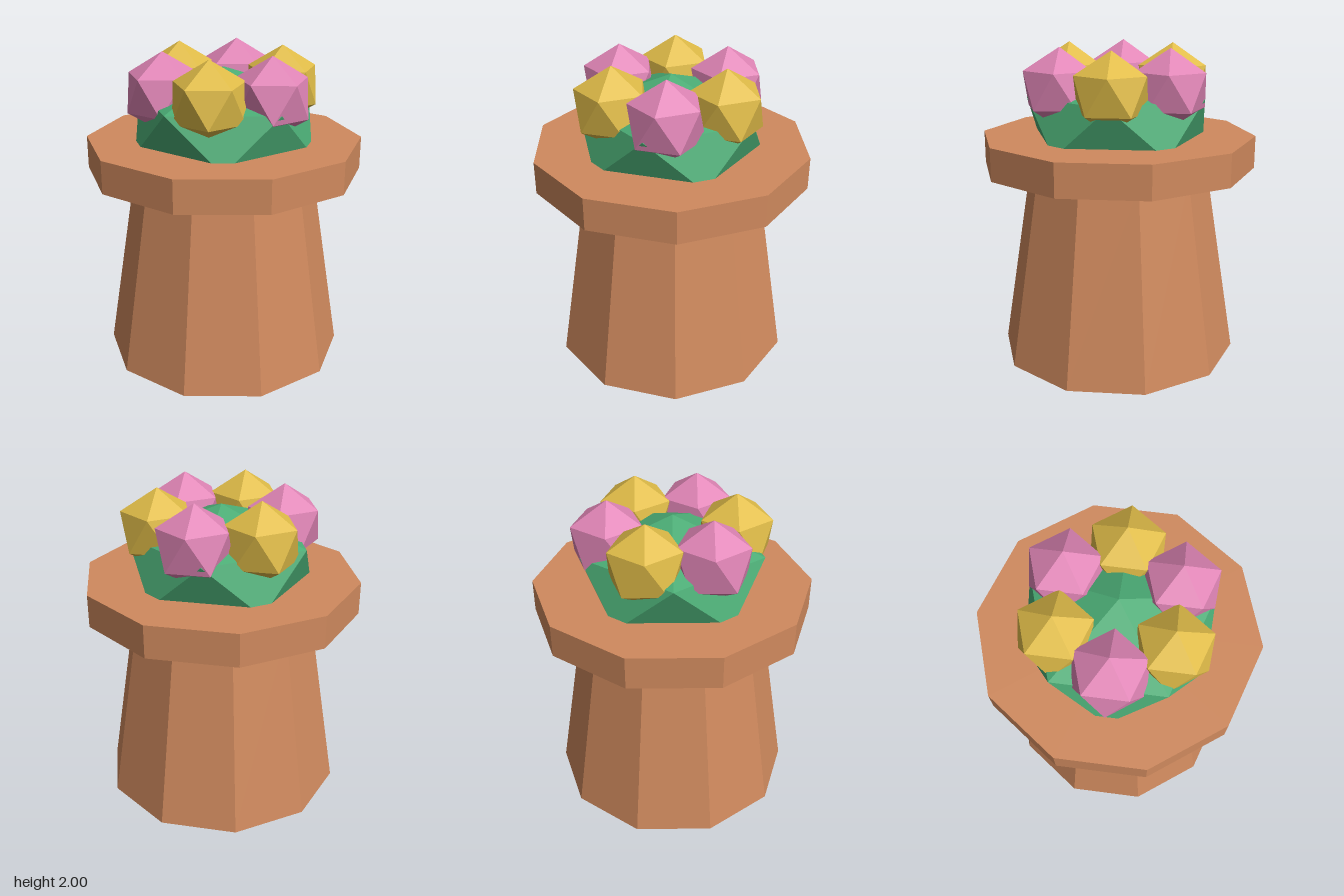
import * as THREE from 'three';

export function createModel() {
  const model = new THREE.Group();
  model.name = 'flowerPot';

  const material = (name, color) => {
    const m = new THREE.MeshStandardMaterial({ color, flatShading: true });
    m.name = name;
    return m;
  };
  const terracotta = material('terracotta', 0xd08a5e);
  const leafGreen = material('leaf green', 0x4bac75);
  const yellow = material('petal yellow', 0xe0bc48);
  const pink = material('petal pink', 0xe085b6);

  const add = (name, geometry, mat, x, y, z) => {
    const mesh = new THREE.Mesh(geometry, mat);
    mesh.name = name;
    mesh.position.set(x, y, z);
    model.add(mesh);
    return mesh;
  };

  // Ten-sided tapered pot with a wide rim
  add('potBody', new THREE.CylinderGeometry(0.57, 0.77, 1.235, 10), terracotta, 0, 0.6175, 0);
  add('potRim', new THREE.CylinderGeometry(0.87, 0.87, 0.205, 10), terracotta, 0, 1.3375, 0);

  // Icosahedron turned so that one corner points straight up
  const ball = new THREE.IcosahedronGeometry(1, 0);
  ball.rotateZ(-Math.atan(2 / (1 + Math.sqrt(5))));

  // Squashed mound of leaves
  add('foliage', ball, leafGreen, 0, 1.535, 0).scale.set(0.64, 0.352, 0.64);

  // Ring of six blossoms in alternating colours
  for (let i = 0; i < 6; i++) {
    const a = (i * Math.PI) / 3;
    const mat = i % 2 ? pink : yellow;
    add('blossom' + (i + 1), ball, mat, 0.386 * Math.cos(a), 1.75, 0.386 * Math.sin(a))
      .scale.setScalar(0.25);
  }

  return model;
}
